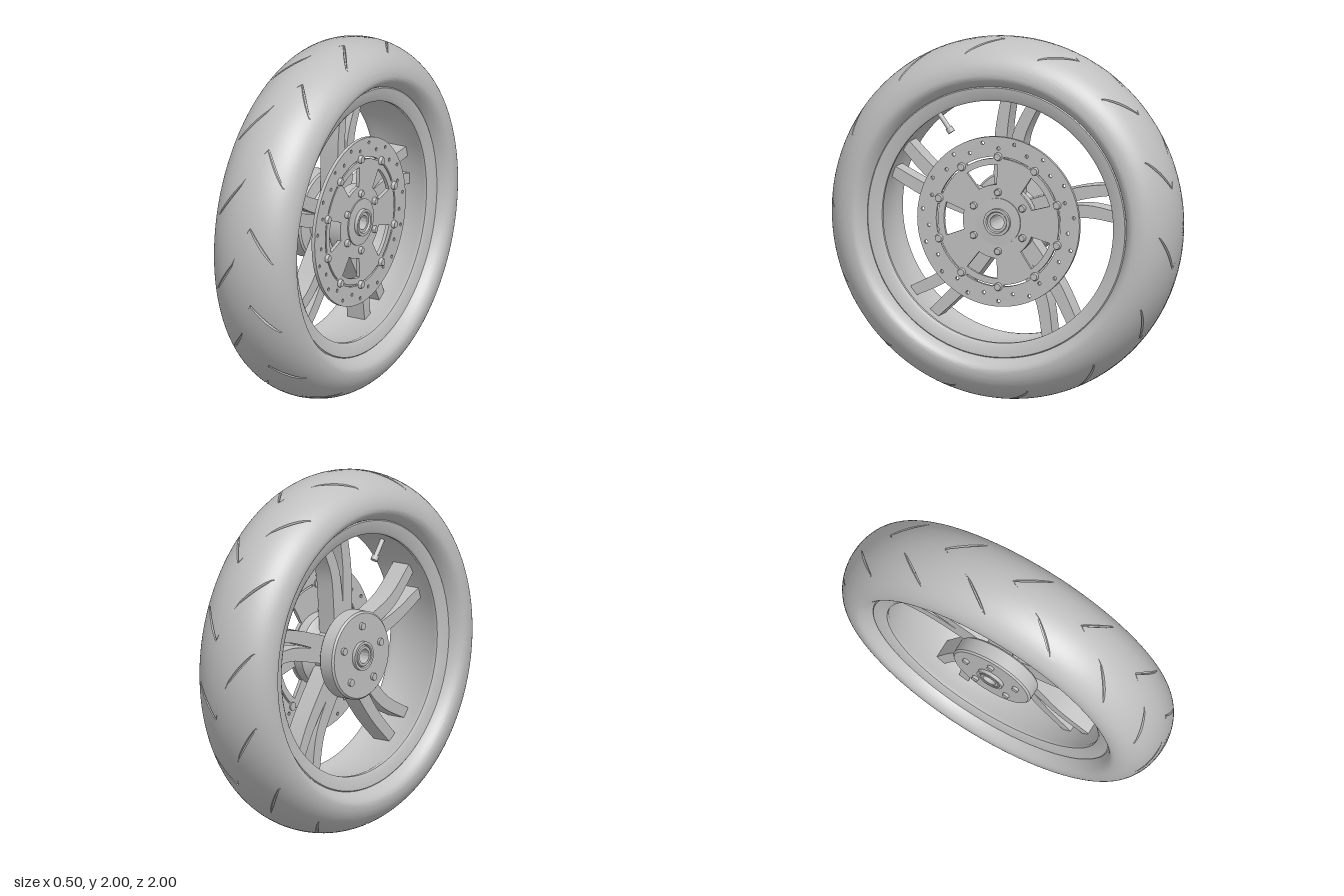
import * as THREE from 'three';
import { toCreasedNormals } from 'three/addons/utils/BufferGeometryUtils.js';

const metal = new THREE.MeshStandardMaterial({ color: 0xc0c0c0 });
metal.name = 'light grey';

const rad = THREE.MathUtils.degToRad;
const polar = (r, deg) => new THREE.Vector2(r * Math.cos(rad(deg)), r * Math.sin(rad(deg)));

function add(parent, name, geometry) {
  const mesh = new THREE.Mesh(geometry, metal);
  mesh.name = name;
  parent.add(mesh);
  return mesh;
}

// Solid of revolution about the axle (local z) from [radius, depth] pairs
function turned(points, segments = 96) {
  const g = new THREE.LatheGeometry(points.map(([r, w]) => new THREE.Vector2(r, w)), segments);
  return toCreasedNormals(g.rotateX(Math.PI / 2), 0.5);
}

function plate(shape, depth, z, curveSegments = 64) {
  const g = new THREE.ExtrudeGeometry(shape, { depth, bevelEnabled: false, curveSegments });
  return toCreasedNormals(g.translate(0, 0, z), 0.5);
}

// Closed outline of a ring sector, used for cut-outs
function sector(r0, r1, mid, half0, half1 = half0, n = 8) {
  const pts = [];
  for (let i = 0; i <= n; i++) pts.push(polar(r1, mid - half1 + (2 * half1 * i) / n));
  for (let i = n; i >= 0; i--) pts.push(polar(r0, mid - half0 + (2 * half0 * i) / n));
  return new THREE.Path(pts);
}

function circlePath(x, y, r) {
  return new THREE.Path().absarc(x, y, r, 0, Math.PI * 2, true);
}

// Ring of domed-edge bolts
function bolts(parent, name, count, ringRadius, startDeg, r, z, height) {
  const h = height / 2;
  const g = turned([[0, -h], [r, -h], [r, h * 0.5], [r * 0.8, h], [0, h]], 16);
  for (let i = 0; i < count; i++) {
    const p = polar(ringRadius, startDeg + (i * 360) / count);
    add(parent, name, g).position.set(p.x, p.y, z);
  }
}

// Tyre: rounded section whose columns are slanted to follow the tread grooves
function tyreGeometry() {
  const rows = 110, periods = 14, step = (Math.PI * 2) / periods;
  const half = 0.012, depth = 0.014;
  const columns = [-1.25, -1, -0.6, 0.6, 1, 1.25].map(k => ({ k, base: 0 }));
  for (let i = 1; i < 8; i++) columns.push({ k: 0, base: (i / 8) * step });
  const { mapLinear, clamp } = THREE.MathUtils;
  const slant = w => {
    if (w < -0.05) return rad(mapLinear(Math.max(w, -0.18), -0.18, -0.05, -10.4, 0));
    if (w < 0.05) return rad(mapLinear(w, -0.05, 0.05, 0, 12.86));
    return rad(mapLinear(Math.min(w, 0.18), 0.05, 0.18, 12.86, 1.9));
  };
  const pos = [], index = [], n = periods * columns.length;
  for (let i = 0; i <= rows; i++) {
    const t = rad(224 - (268 * i) / rows);
    const w = 0.25 * Math.cos(t);
    const r = 0.82 + Math.sin(t) * (Math.sin(t) > 0 ? 0.18 : 0.1);
    const along = clamp((Math.abs(w) - 0.04) / 0.145, 0, 1);
    const mask = Math.sin(t) > 0 ? Math.sqrt(Math.max(0, Math.sin(Math.PI * along))) : 0;
    for (let p = 0; p < periods; p++) for (const c of columns) {
      const a = Math.PI - slant(w) + p * step + c.base + c.k * half * Math.max(mask, 0.25);
      const rr = r - (Math.abs(c.k) === 0.6 ? depth * mask : 0);
      pos.push(rr * Math.cos(a), rr * Math.sin(a), w);
    }
  }
  // column order by angle: groove, then land, then the next groove
  for (let i = 0; i < rows; i++) for (let j = 0; j < n; j++) {
    const a = i * n + j, b = i * n + (j + 1) % n, c = a + n, d = b + n;
    index.push(a, b, c, b, d, c);
  }
  const g = new THREE.BufferGeometry();
  g.setAttribute('position', new THREE.Float32BufferAttribute(pos, 3));
  g.setIndex(index);
  return toCreasedNormals(g, 0.5);
}

// Curved tapering spoke through [radius, angle] points
function spokeGeometry(points) {
  const curve = new THREE.SplineCurve(points.map(([r, a]) => polar(r, a)));
  const left = [], right = [];
  for (let i = 0; i <= 14; i++) {
    const t = i / 14, p = curve.getPoint(t), d = curve.getTangent(t);
    const h = 0.045 - 0.015 * t;
    left.push(new THREE.Vector2(p.x - d.y * h, p.y + d.x * h));
    right.push(new THREE.Vector2(p.x + d.y * h, p.y - d.x * h));
  }
  return plate(new THREE.Shape([...right, ...left.reverse()]), 0.11, -0.06);
}

export function createModel() {
  const model = new THREE.Group();
  model.name = 'motorcycleWheel';
  const wheel = new THREE.Group();
  wheel.name = 'wheel';
  wheel.rotation.y = Math.PI / 2;
  wheel.position.y = 1;
  model.add(wheel);

  add(wheel, 'tyre', tyreGeometry());

  // Rim with a lip on each side and a wide barrel
  add(wheel, 'rim', turned([
    [0.76, -0.17], [0.76, 0.17], [0.745, 0.185], [0.685, 0.175], [0.67, 0.165], [0.67, 0.145], [0.682, 0.12],
    [0.682, -0.12], [0.67, -0.145], [0.67, -0.165], [0.685, -0.175], [0.745, -0.185], [0.76, -0.17],
  ], 128));

  // Hub with rear drum, neck, front flange and hollow axle
  add(wheel, 'hub', turned([
    [0.04, -0.2], [0.055, -0.2], [0.06, -0.19], [0.065, -0.2], [0.08, -0.2], [0.08, -0.18],
    [0.235, -0.18], [0.245, -0.17], [0.245, -0.09], [0.235, -0.08], [0.16, -0.07], [0.14, -0.03],
    [0.14, 0.04], [0.19, 0.07], [0.2, 0.08], [0.2, 0.136], [0.13, 0.136], [0.13, 0.162], [0.075, 0.165],
    [0.075, 0.185], [0.06, 0.185], [0.055, 0.175], [0.04, 0.175], [0.04, -0.2],
  ]));
  bolts(wheel, 'drumBolt', 5, 0.165, 90, 0.02, -0.183, 0.024);

  // Five pairs of spokes
  const pair = [
    spokeGeometry([[0.1, 100], [0.28, 95], [0.48, 92.5], [0.685, 89]]),
    spokeGeometry([[0.1, 68], [0.28, 79], [0.48, 80], [0.685, 75]]),
  ];
  for (let i = 0; i < 5; i++) for (const g of pair) add(wheel, 'spoke', g).rotation.z = rad(72 * i);

  // Brake disc: windows, thin slots between the bolts and drilled holes
  const disc = new THREE.Shape().absarc(0, 0, 0.47, 0, Math.PI * 2, false);
  disc.holes.push(circlePath(0, 0, 0.1));
  for (let i = 0; i < 5; i++) disc.holes.push(sector(0.205, 0.315, 108 + 72 * i, 15, 17));
  for (let i = 0; i < 10; i++) disc.holes.push(sector(0.35, 0.36, 72 + 36 * i, 13));
  for (let i = 0; i < 30; i++) {
    const p = polar(i % 2 ? 0.405 : 0.44, 6 + 12 * i), hole = [];
    for (let k = 0; k < 8; k++) hole.push(polar(0.01, 45 * k).add(p));
    disc.holes.push(new THREE.Path(hole));
  }
  add(wheel, 'brakeDisc', plate(disc, 0.02, 0.135));
  bolts(wheel, 'discBolt', 10, 0.36, 90, 0.023, 0.15, 0.046);
  bolts(wheel, 'hubBolt', 6, 0.163, 90, 0.02, 0.16, 0.026);

  // Valve stem on the barrel
  const valve = new THREE.Group();
  valve.name = 'valve';
  valve.rotation.z = rad(126 + 90);
  add(valve, 'valveStem', new THREE.CylinderGeometry(0.013, 0.013, 0.13, 16)).position.y = 0.62;
  add(valve, 'valveCap', new THREE.CylinderGeometry(0.02, 0.02, 0.03, 16)).position.y = 0.57;
  valve.rotation.z = rad(126 - 90);
  wheel.add(valve);

  return model;
}
